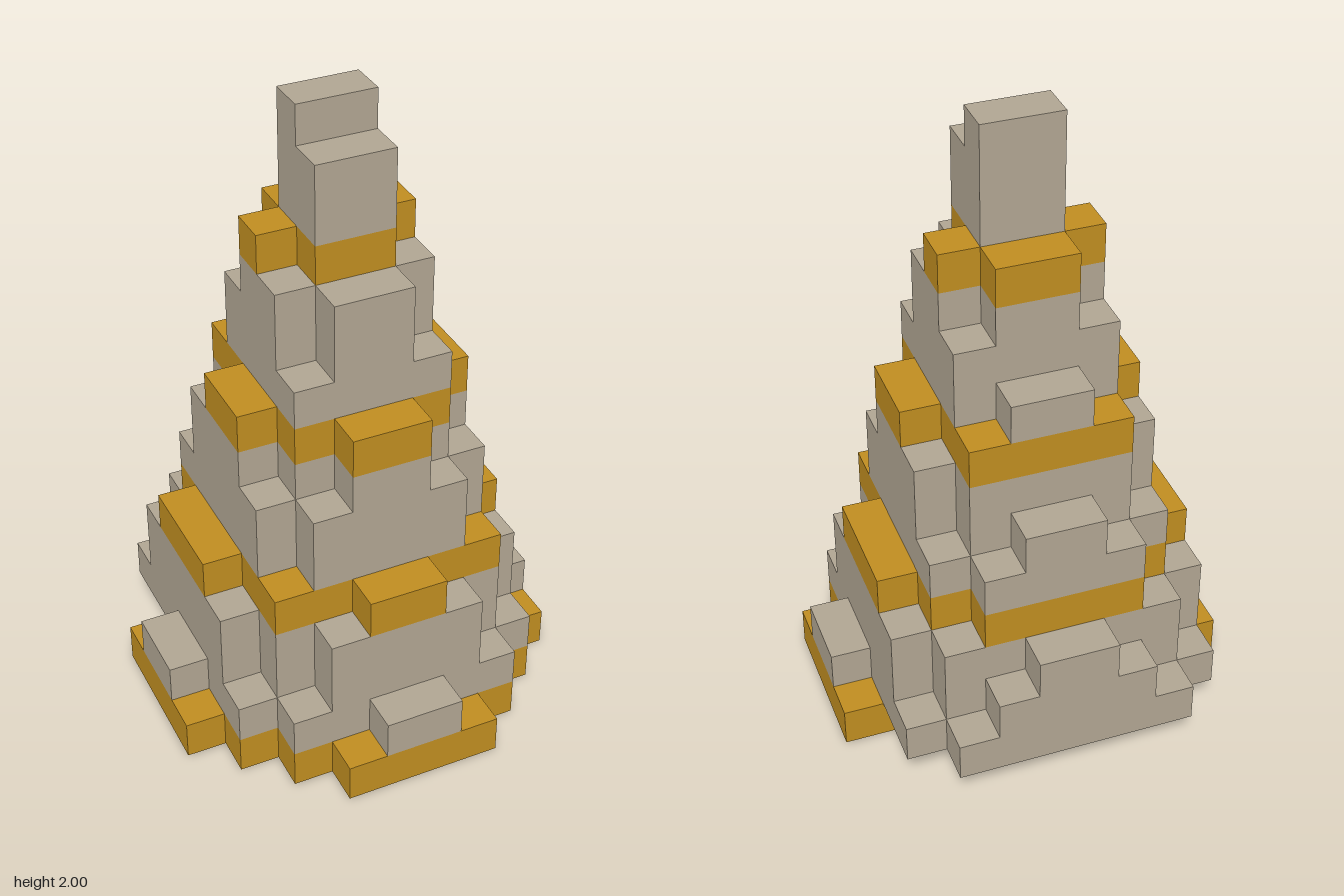
import * as THREE from 'three';

const U = 0.125; // edge of one block

// Block-stack heights, one row per z step from back (-5) to front (+4);
// each row runs from the centre line outwards and is mirrored in x.
const HEIGHTS = [
  [4, 3, 2],
  [7, 6, 4, 2],
  [10, 9, 6, 4],
  [13, 11, 8, 5, 1],
  [16, 13, 9, 5, 2],
  [15, 12, 9, 5, 2],
  [12, 10, 7, 4, 1],
  [9, 7, 5, 2],
  [5, 4, 2],
  [2, 1],
];
const BACK = -5;
const BASE_BACK = -2;            // the lowest slab stops short at the back
const isBand = (layer) => layer % 4 === 0 && layer < 13;

// Half-width of every z row in a layer
function rowWidths(layer) {
  return HEIGHTS.map((row, i) =>
    layer === 0 && BACK + i < BASE_BACK ? 0 : row.filter((h) => h > layer).length);
}

// Stepped, mirrored outline of one layer, extruded upwards
function slabGeometry(widths, bottom, height) {
  const side = [];
  widths.forEach((w, i) => {
    if (!w) return;
    const z = BACK + i;
    const last = side[side.length - 1];
    if (last && last[0] === w) last[1] = z + 1;
    else side.push([w, z], [w, z + 1]);
  });
  const outline = [...side, ...side.map(([x, z]) => [-x, z]).reverse()];
  const shape = new THREE.Shape(outline.map(([x, z]) => new THREE.Vector2(x * U, -z * U)));
  const geo = new THREE.ExtrudeGeometry(shape, { depth: height * U, bevelEnabled: false });
  geo.rotateX(-Math.PI / 2);
  geo.translate(0, bottom * U, 0);
  return geo;
}

export function createModel() {
  const stone = new THREE.MeshStandardMaterial({ color: 0xb0a592 });
  stone.name = 'stone';
  const gold = new THREE.MeshStandardMaterial({ color: 0xbf8d20 });
  gold.name = 'gold';

  const model = new THREE.Group();
  model.name = 'steppedSpire';

  // Equal neighbouring layers of the same colour become one slab
  for (let layer = 0; layer < 16;) {
    const widths = rowWidths(layer);
    let end = layer + 1;
    while (end < 16 && isBand(end) === isBand(layer) &&
      rowWidths(end).join() === widths.join()) end++;
    const mesh = new THREE.Mesh(
      slabGeometry(widths, layer, end - layer), isBand(layer) ? gold : stone);
    mesh.name = `${isBand(layer) ? 'goldBand' : 'stoneTier'}${layer}`;
    model.add(mesh);
    layer = end;
  }
  return model;
}
